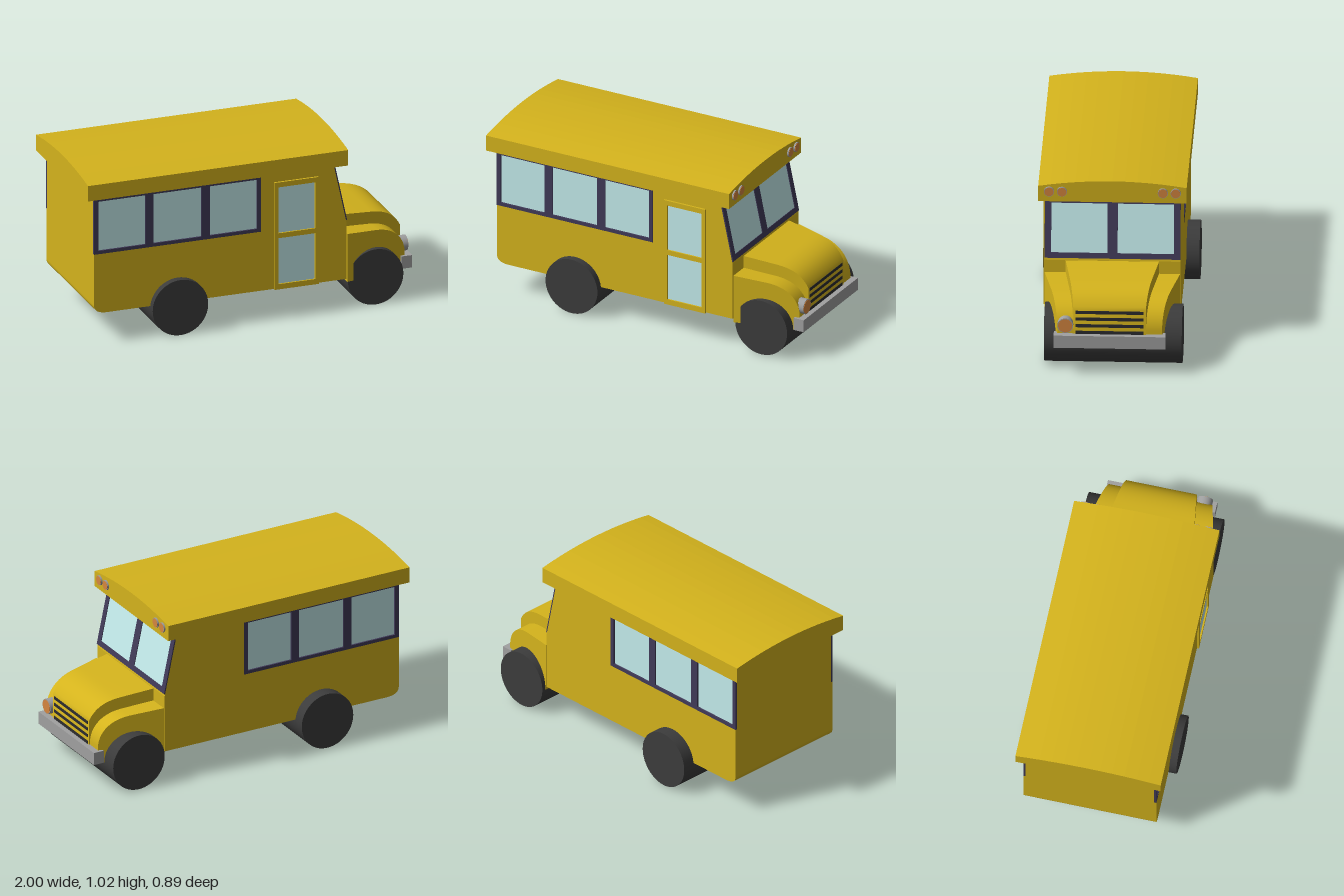
import * as THREE from 'three';
import { toCreasedNormals } from 'three/addons/utils/BufferGeometryUtils.js';

const mat = (color) => new THREE.MeshStandardMaterial({ color });
const CZ = 0.016; // centre line of the bodywork
const HALF = 0.385; // half width of the body
const SKIN = 0.012; // depth of the window recess

export function createModel() {
  const bus = new THREE.Group();
  const yellow = mat(0xd4b31c), frameMat = mat(0x403a58), glass = mat(0xc4ecec);
  const tyre = mat(0x3c3c3c), dark = mat(0x2c2c2e), orange = mat(0xd6863f), metal = mat(0xa0a0a0);

  const add = (name, geo, material, x = 0, y = 0, z = 0, parent = bus) => {
    const mesh = new THREE.Mesh(geo, material);
    mesh.name = name;
    mesh.position.set(x, y, z);
    parent.add(mesh);
    return mesh;
  };
  const extrude = (shape, depth) =>
    new THREE.ExtrudeGeometry(shape, { depth, bevelEnabled: false, curveSegments: 14 });
  const rect = ([x0, y0, x1, y1], Type = THREE.Shape) =>
    new Type([[x0, y0], [x1, y0], [x1, y1], [x0, y1]].map((p) => new THREE.Vector2(...p)));

  // A frame with openings, and a pane of glass set back in each opening
  const glazed = (name, outer, panes, depth, material, parent) => {
    const shape = rect(outer);
    panes.forEach((p) => shape.holes.push(rect(p, THREE.Path)));
    add(name + 'Frame', extrude(shape, depth), material, 0, 0, 0, parent);
    panes.forEach(([x0, y0, x1, y1]) =>
      add(name + 'Pane', new THREE.BoxGeometry(x1 - x0, y1 - y0, 0.004), glass,
        (x0 + x1) / 2, (y0 + y1) / 2, 0.001, parent));
  };

  // Body side outline; the skin version is notched for the window band
  const bodyShape = (notched) => {
    const s = new THREE.Shape();
    s.moveTo(0.5, 0.89);
    if (notched) {
      s.lineTo(0.06, 0.89);
      s.lineTo(0.06, 0.545);
      s.lineTo(-0.95, 0.545);
    } else s.lineTo(-0.95, 0.89);
    s.lineTo(-0.95, 0.235);
    s.quadraticCurveTo(-0.95, 0.185, -0.87, 0.185);
    s.lineTo(0.577, 0.185);
    s.lineTo(0.577, 0.53);
    return s;
  };
  const inner = HALF - SKIN;
  add('body', extrude(bodyShape(false), inner * 2), yellow, 0, 0, CZ - inner);
  add('leftBodySkin', extrude(bodyShape(true), SKIN), yellow, 0, 0, CZ + inner);
  add('rightBodySkin', extrude(bodyShape(true), SKIN), yellow, 0, 0, CZ - HALF);

  // Side windows; the right side is turned round, so its x is reversed
  const sidePanes = [[-0.925, -0.64], [-0.59, -0.3], [-0.25, 0.035]];
  for (const s of [1, -1]) {
    const side = new THREE.Group();
    side.name = s > 0 ? 'leftWindows' : 'rightWindows';
    side.position.z = CZ + s * inner;
    if (s < 0) side.rotation.y = Math.PI;
    bus.add(side);
    const span = (a, b, y0, y1) => [Math.min(s * a, s * b), y0, Math.max(s * a, s * b), y1];
    glazed('sideWindow', span(-0.951, 0.06, 0.545, 0.89),
      sidePanes.map(([a, b]) => span(a, b, 0.565, 0.865)), SKIN + 0.001, frameMat, side);
  }

  // Sloping windscreen
  const screen = new THREE.Group();
  screen.name = 'windscreen';
  const up = new THREE.Vector3(-0.077, 0.36, 0).normalize();
  const across = new THREE.Vector3(0, 0, -1);
  screen.quaternion.setFromRotationMatrix(
    new THREE.Matrix4().makeBasis(across, up, across.clone().cross(up)));
  screen.position.set(0.577, 0.53, CZ);
  bus.add(screen);
  glazed('windscreen', [-HALF, 0.013, HALF, 0.368],
    [[-0.348, 0.045, -0.029, 0.332], [0.029, 0.045, 0.348, 0.332]], 0.007, frameMat, screen);

  // Entrance door on the left side
  const door = new THREE.Group();
  door.name = 'door';
  door.position.z = CZ + HALF;
  bus.add(door);
  glazed('door', [0.138, 0.183, 0.405, 0.835],
    [[0.16, 0.525, 0.384, 0.805], [0.16, 0.215, 0.384, 0.495]], 0.012, yellow, door);

  // Arched roof with a deep rim
  const roofShape = new THREE.Shape();
  roofShape.moveTo(-0.421, 0.89);
  roofShape.lineTo(0.421, 0.89);
  for (let i = 0; i <= 12; i++) {
    const t = 1 - i / 6;
    roofShape.lineTo(0.421 * t, 0.984 + 0.035 * (1 - t * t));
  }
  add('roof', extrude(roofShape, 1.574), yellow, -1, 0, CZ).rotation.y = Math.PI / 2;

  // Nose parts: side outline extruded across, then narrowed towards the front
  const nose = (name, shape, wBack, wFront) => {
    const geo = extrude(shape, 2);
    const p = geo.attributes.position;
    for (let i = 0; i < p.count; i++) {
      const t = (p.getX(i) - 0.58) / 0.39;
      p.setZ(i, (p.getZ(i) - 1) * (wBack + (wFront - wBack) * t));
    }
    add(name, toCreasedNormals(geo, 0.6), yellow, 0, 0, CZ);
  };
  const hood = new THREE.Shape();
  hood.moveTo(0.582, 0.165);
  hood.lineTo(0.968, 0.165);
  hood.lineTo(0.968, 0.395);
  hood.bezierCurveTo(0.93, 0.47, 0.87, 0.5, 0.78, 0.51);
  hood.lineTo(0.582, 0.531);
  nose('hood', hood, 0.265, 0.205);

  const fender = new THREE.Shape();
  fender.moveTo(0.582, 0.165);
  fender.lineTo(0.962, 0.165);
  fender.lineTo(0.962, 0.27);
  fender.bezierCurveTo(0.955, 0.36, 0.89, 0.425, 0.78, 0.438);
  fender.lineTo(0.582, 0.457);
  nose('fenders', fender, 0.385, 0.295);

  // Grille slots and bumper
  for (let i = 0; i < 4; i++)
    add('grilleSlot', new THREE.BoxGeometry(0.01, 0.019, 0.384), dark, 0.965, 0.255 + i * 0.041, CZ);
  add('bumper', new THREE.BoxGeometry(0.065, 0.075, 0.634), metal, 0.9675, 0.208, CZ);

  // Round lamps facing forward: metal rim with an orange lens
  const lamp = (name, r, x, y, z, depth) => {
    const disc = (part, rad, len, m) =>
      add(name + part, new THREE.CylinderGeometry(rad, rad, len, 32), m, x + len / 2, y, z)
        .rotation.z = -Math.PI / 2;
    disc('Rim', r, depth, metal);
    disc('Lens', r * 0.89, depth + 0.002, orange);
  };
  lamp('headlamp', 0.045, 0.94, 0.301, 0.267, 0.045);
  for (const s of [1, -1])
    for (const d of [0.286, 0.359]) lamp('roofLamp', 0.029, 0.57, 0.952, CZ + s * d, 0.013);

  // Wheels are full-width rollers
  const wheel = (name, x, width) =>
    add(name, new THREE.CylinderGeometry(0.168, 0.168, width, 56), tyre, x, 0.168, 0)
      .rotation.x = Math.PI / 2;
  wheel('rearWheels', -0.443, 0.886);
  wheel('frontWheels', 0.757, 0.782);

  return bus;
}
